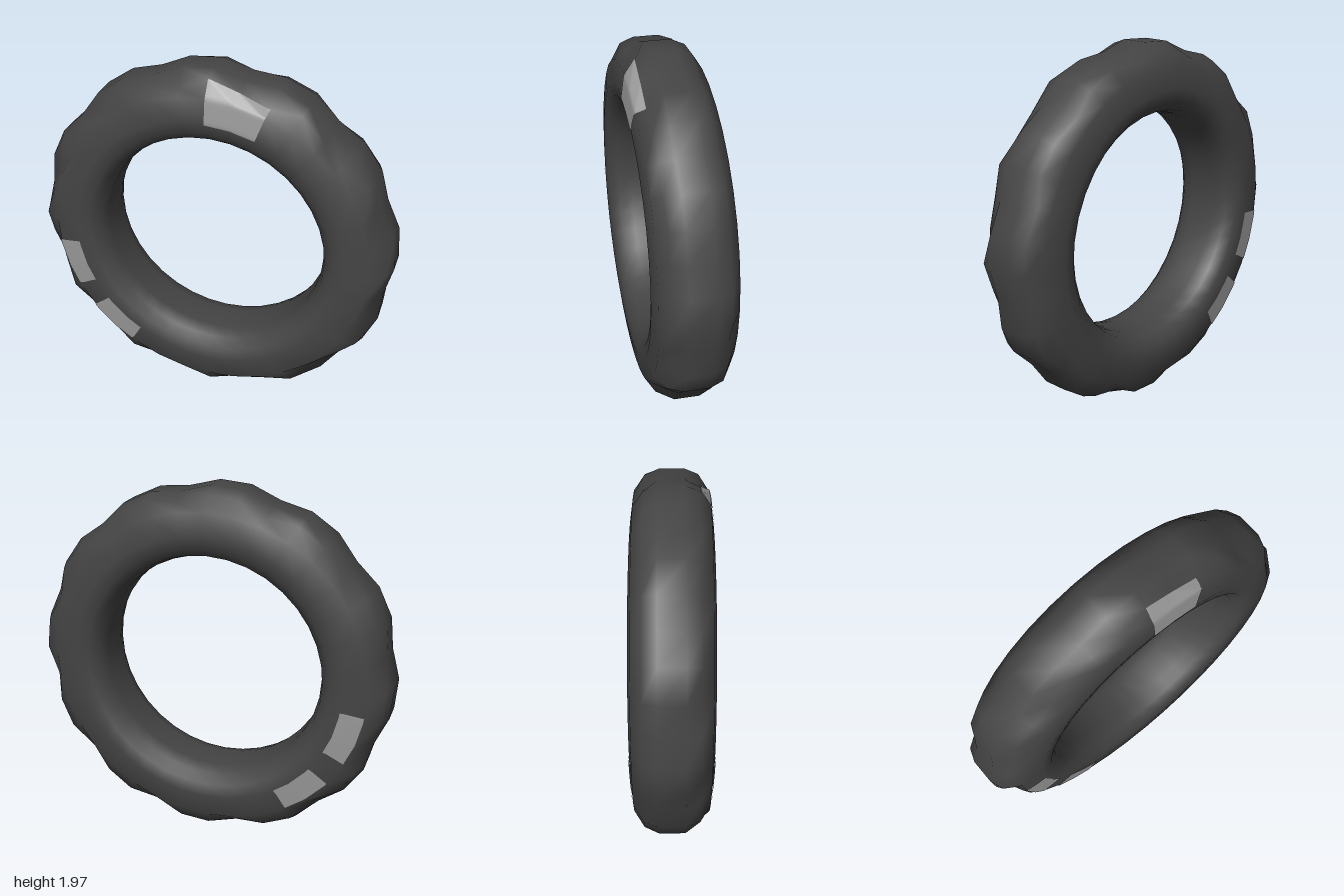
import * as THREE from 'three';

const SEGMENTS = 36;
const CENTRE_Y = 0.972;
const TUBE_RADIUS = 0.8;

// Half of the cross-section, from the tread to the bore: [radius, z]
const half = [[1, 0.07], [0.972, 0.145], [0.885, 0.2], [0.76, 0.216], [0.69, 0.203], [0.64, 0.155], [0.62, 0.08]];
const profile = [...half, ...half.map(([r, z]) => [r, -z]).reverse()];
const COUNT = profile.length;

// Worn tread: every third segment dips, the shoulders dip on a slant
const treadDip = [0, 0, 0.029];
const frontShoulderDip = [0, 0.06, 0.038];
const backShoulderDip = [0, 0.005, 0.045];

// Surface point at segment i and cross-section point j, flattened on the ground
function gridPoint(i, j) {
  const angle = (i / SEGMENTS) * Math.PI * 2;
  const jj = j % COUNT;
  let [r, z] = profile[jj];
  const outward = (r - 0.62) / 0.38;
  r -= 0.008 * outward * Math.cos(angle - Math.PI / 3);
  const phase = i % 3;
  if (jj === 0 || jj === COUNT - 1) r -= treadDip[phase];
  if (jj === 1) r -= frontShoulderDip[phase];
  if (jj === COUNT - 2) r -= backShoulderDip[phase];
  return new THREE.Vector3(r * Math.cos(angle), Math.max(0, CENTRE_Y + r * Math.sin(angle)), z);
}

// Point on the faceted surface at fractional coordinates, lifted slightly outward
function surfacePoint(u, v, lift) {
  const i = Math.floor(u), j = Math.floor(v), s = u - i, t = v - j;
  const b = gridPoint(i + 1, j), c = gridPoint(i, j + 1);
  const near = s + t <= 1;
  const corner = near ? gridPoint(i, j) : gridPoint(i + 1, j + 1);
  const p = corner.clone()
    .addScaledVector(b.clone().sub(corner), near ? s : 1 - t)
    .addScaledVector(c.clone().sub(corner), near ? t : 1 - s);
  const angle = (u / SEGMENTS) * Math.PI * 2;
  const core = new THREE.Vector3(Math.cos(angle) * TUBE_RADIUS, CENTRE_Y + Math.sin(angle) * TUBE_RADIUS, 0);
  return p.addScaledVector(p.clone().sub(core).normalize(), lift);
}

// Smooth surface from a grid of points; optionally closed both ways
function gridGeometry(rows, cols, pointAt, closed) {
  const positions = [], indices = [];
  const nr = closed ? rows : rows + 1, nc = closed ? cols : cols + 1;
  for (let i = 0; i < nr; i++) {
    for (let j = 0; j < nc; j++) positions.push(...pointAt(i, j).toArray());
  }
  const id = (i, j) => (i % nr) * nc + (j % nc);
  for (let i = 0; i < rows; i++) {
    for (let j = 0; j < cols; j++) {
      const a = id(i, j), b = id(i + 1, j), c = id(i, j + 1), d = id(i + 1, j + 1);
      indices.push(a, b, c, b, d, c);
    }
  }
  const geometry = new THREE.BufferGeometry();
  geometry.setAttribute('position', new THREE.Float32BufferAttribute(positions, 3));
  geometry.setIndex(indices);
  geometry.computeVertexNormals();
  return geometry;
}

export function createModel() {
  const rubber = new THREE.MeshStandardMaterial({ color: 0x444444 });
  rubber.name = 'dark rubber';
  const paint = new THREE.MeshStandardMaterial({ color: 0x999999 });
  paint.name = 'grey patch';

  const group = new THREE.Group();
  group.name = 'tyre';

  const body = new THREE.Mesh(gridGeometry(SEGMENTS, COUNT, gridPoint, true), rubber);
  body.name = 'tyreBody';
  group.add(body);

  // Painted patches: segment range, then cross-section range
  function addPatch(name, u0, u1, v0, v1) {
    const rows = 20, cols = 16;
    const geometry = gridGeometry(rows, cols, (i, j) =>
      surfacePoint(u0 + ((u1 - u0) * i) / rows, v0 + ((v1 - v0) * j) / cols, 0.004), false);
    const patch = new THREE.Mesh(geometry, paint);
    patch.name = name;
    group.add(patch);
  }
  addPatch('topPatch', 6.95, 9.02, 1, 3.15);
  for (const [name, u0, u1] of [['upperSidePatch', 18.85, 20.8], ['lowerSidePatch', 21.83, 23.78]]) {
    addPatch(name + 'Front', u0, u1, 2, 2.99);
    addPatch(name + 'Back', u0, u1, COUNT - 1 - 2.99, COUNT - 1 - 2);
  }
  return group;
}
